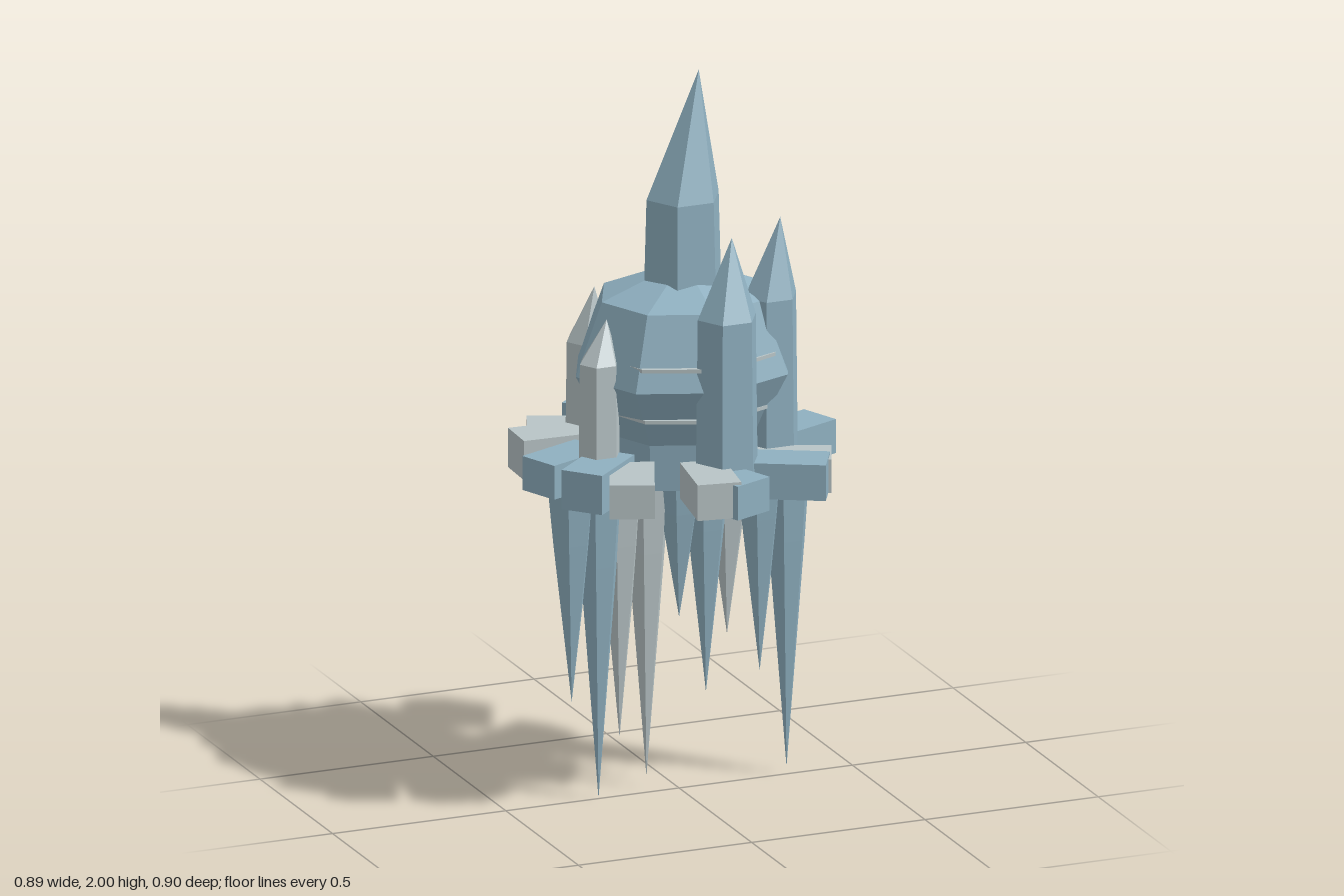
import * as THREE from 'three';

const blue = new THREE.MeshStandardMaterial({ color: 0x8fb0c0, flatShading: true, side: THREE.DoubleSide });
const grey = new THREE.MeshStandardMaterial({ color: 0xb8c4c6, flatShading: true, side: THREE.DoubleSide });

// Faceted solid of revolution from [radius, height] pairs, with a corner on the x axis
function faceted(name, profile, sides, material) {
  const points = profile.map(([r, y]) => new THREE.Vector2(r, y));
  const mesh = new THREE.Mesh(new THREE.LatheGeometry(points, sides, Math.PI / 2), material);
  mesh.name = name;
  return mesh;
}

// Six-sided crystal whose tip leans away from its axis
function crystal(name, { x, z, r, base, shoulder, tip, lean = [0, 0], material }) {
  const mesh = faceted(name, [[0, base], [r, base], [r * 0.93, shoulder], [0, tip]], 6, material);
  const pos = mesh.geometry.attributes.position;
  for (let i = 0; i < pos.count; i++) {
    if (pos.getY(i) > tip - 1e-4) pos.setXYZ(i, lean[0], tip, lean[1]);
  }
  mesh.geometry.computeVertexNormals();
  mesh.position.set(x, 0, z);
  return mesh;
}

// Block whose long side points along `angle` (from +x towards +z)
function block(x, z, angle, y, height, material) {
  const mesh = new THREE.Mesh(new THREE.BoxGeometry(0.2, height, 0.12), material);
  mesh.name = 'rimBlock';
  mesh.position.set(x, y, z);
  mesh.rotation.y = -angle;
  return mesh;
}

export function createModel() {
  const model = new THREE.Group();
  model.name = 'iceSpire';

  // Eight-sided hollow-looking dome
  const dome = faceted('dome', [
    [0, 0.89], [0.21, 0.89], [0.22, 1.02], [0.31, 1.19], [0.235, 1.39], [0.1, 1.44], [0, 1.45],
  ], 8, blue);
  dome.scale.z = 0.9;
  dome.position.x = 0.012;
  model.add(dome);

  // Thin ledges breaking through the front and back of the dome
  for (const [y, r] of [[1.25, 0.272], [1.1, 0.25]]) {
    const ledge = faceted('ledge', [[0, y - 0.005], [r, y - 0.005], [r, y + 0.005], [0, y + 0.005]], 8, grey);
    ledge.position.x = 0.005;
    model.add(ledge);
  }

  // Central spire
  model.add(crystal('centralSpire', {
    x: 0.01, z: 0, r: 0.112, base: 1.38, shoulder: 1.66, tip: 2, lean: [0.055, -0.02], material: blue,
  }));

  // Crystals around the dome
  const crystals = [
    { x: 0.037, z: 0.24, r: 0.09, shoulder: 1.39, tip: 1.6, lean: [0.025, -0.025], material: blue },
    { x: 0.217, z: 0.11, r: 0.08, shoulder: 1.39, tip: 1.6, lean: [0.033, -0.01], material: blue },
    { x: -0.262, z: 0.075, r: 0.06, shoulder: 1.25, tip: 1.36, lean: [0.03, -0.02], material: grey },
    { x: -0.18, z: -0.2, r: 0.065, shoulder: 1.22, tip: 1.37, lean: [0.015, 0.01], material: grey },
    { x: -0.075, z: -0.245, r: 0.07, shoulder: 1.08, tip: 1.18, lean: [0.01, 0.03], material: grey },
    { x: 0.145, z: -0.225, r: 0.065, shoulder: 1.1, tip: 1.19, lean: [0, 0.02], material: grey },
  ];
  for (const c of crystals) model.add(crystal('sideCrystal', { base: 0.885, ...c }));

  // Rim: a regular ring of blocks, each turned from the radial direction
  const rim = new THREE.Group();
  rim.name = 'rim';
  for (let i = 0; i < 8; i++) {
    const a = i * Math.PI / 4;
    rim.add(block(0.33 * Math.cos(a), 0.33 * Math.sin(a), a - Math.PI / 8, 0.935, 0.095, i % 2 ? grey : blue));
  }

  // Rim: loose blocks in between
  const loose = [
    [-0.07, -0.34, -133, blue], [-0.295, 0.145, 138, blue], [0.2, 0.29, 28, blue],
    [-0.305, -0.153, 182, grey], [-0.045, 0.325, 99, grey], [0.207, -0.262, -73, grey],
  ];
  loose.forEach(([x, z, deg, mat], i) => {
    rim.add(block(x, z, THREE.MathUtils.degToRad(deg), 0.94, 0.1 + 0.01 * (i % 2), mat));
  });
  model.add(rim);

  // Row of hanging icicles, [tip height, z]
  const icicles = [
    [0.28, 0], [0, 0], [0.15, -0.04], [0.03, -0.04], [0.48, 0], [0.26, 0], [0.4, -0.04], [0.3, 0], [0.02, 0],
  ];
  icicles.forEach(([tip, z], i) => {
    const mid = THREE.MathUtils.lerp(0.88, tip, 0.25);
    const mesh = faceted('icicle', [[0, tip], [0.053, mid], [0.068, 0.88], [0, 0.88]], 6, z ? grey : blue);
    mesh.position.set((i - 4) * 0.0775, 0, z);
    model.add(mesh);
  });

  return model;
}
